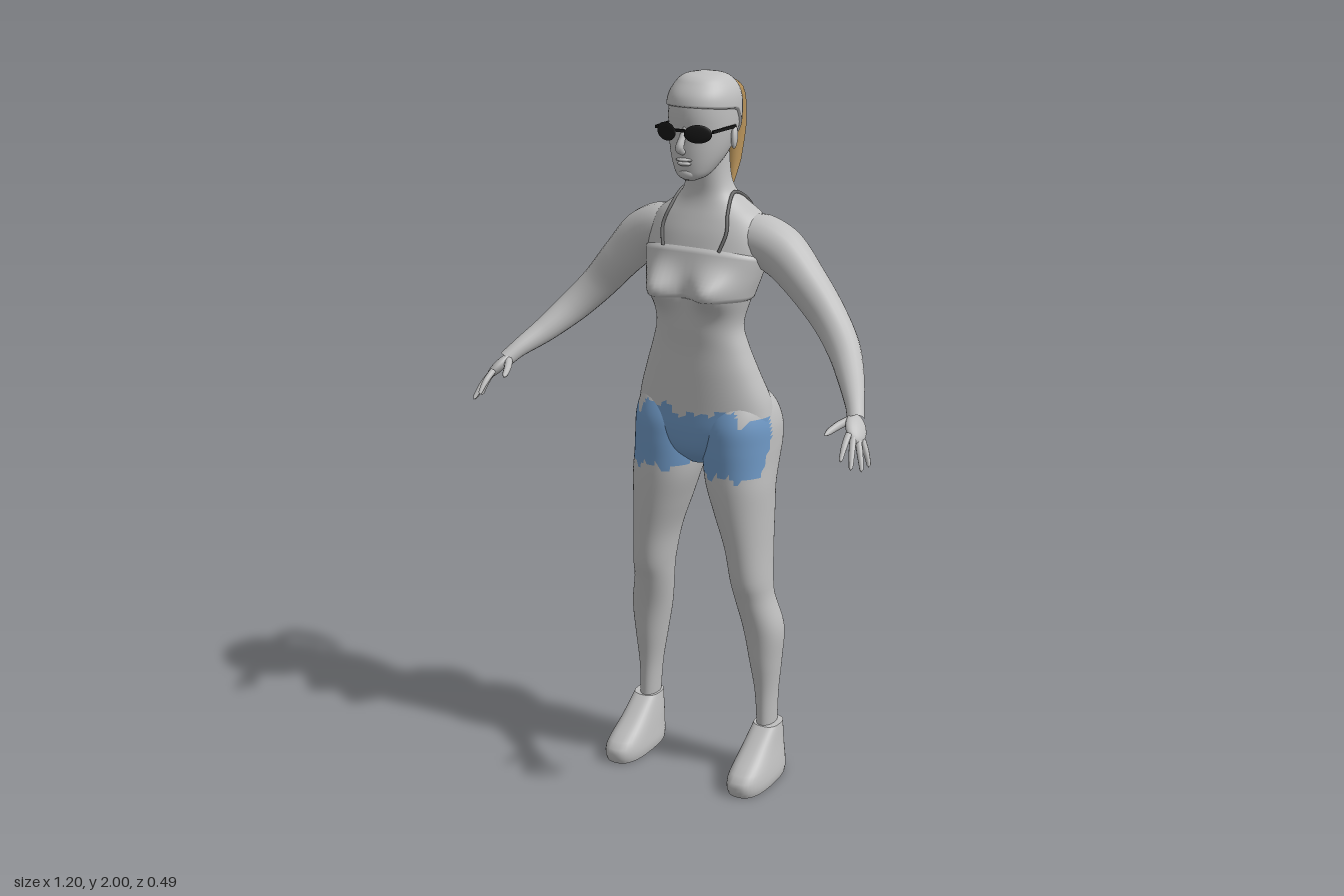
import * as THREE from 'three';

const std = (name, color) => Object.assign(new THREE.MeshStandardMaterial({ color }), { name });

// Smooth interpolation of cross-sections [y, centreX, halfWidth, zFront, zBack] at height y
function sample(rings, y) {
  const n = rings.length;
  let i = 0;
  while (i < n - 2 && y > rings[i + 1][0]) i++;
  const a = rings[i], b = rings[i + 1], h = b[0] - a[0];
  const t = Math.min(1, Math.max(0, (y - a[0]) / h));
  const slope = (k, c) => {
    const p = rings[Math.max(0, k - 1)], q = rings[Math.min(n - 1, k + 1)];
    return (q[c] - p[c]) / (q[0] - p[0]);
  };
  return [1, 2, 3, 4].map((c) => {
    const t2 = t * t, t3 = t2 * t;
    return (2 * t3 - 3 * t2 + 1) * a[c] + (t3 - 2 * t2 + t) * h * slope(i, c)
      + (3 * t2 - 2 * t3) * b[c] + (t3 - t2) * h * slope(i + 1, c);
  });
}

const pow = (v, e) => Math.sign(v) * Math.pow(Math.abs(v), e);

// Point on the body surface at height y and angle a
function surface(rings, y, a, e = 0.9, off = 0) {
  const [cx, hw, zf, zb] = sample(rings, y);
  return [cx + (hw + off) * pow(Math.cos(a), e), y,
    (zf + zb) / 2 + ((zf - zb) / 2 + off) * pow(Math.sin(a), e)];
}

// Closed-around grid; pick() chooses the material index of each face
function grid(nu, nv, fn, { caps = false, pick = () => 0 } = {}) {
  const pos = [], lists = [[], []];
  for (let j = 0; j <= nv; j++)
    for (let i = 0; i < nu; i++) pos.push(...fn(i / nu * Math.PI * 2, j / nv));
  const tri = (...t) => {
    const c = [0, 1, 2].map((k) => t.reduce((s, v) => s + pos[v * 3 + k], 0) / 3);
    lists[pick(...c)].push(...t);
  };
  for (let j = 0; j < nv; j++)
    for (let i = 0; i < nu; i++) {
      const a = j * nu + i, b = j * nu + (i + 1) % nu;
      tri(a, a + nu, b);
      tri(b, a + nu, b + nu);
    }
  if (caps) for (const j of [0, nv]) {
    const base = pos.length / 3, mid = [0, 0, 0];
    for (let i = 0; i < nu; i++) {
      const p = pos.slice((j * nu + i) * 3, (j * nu + i) * 3 + 3);
      p.forEach((v, k) => { mid[k] += v / nu; });
      pos.push(...p);
    }
    pos.push(...mid);
    for (let i = 0; i < nu; i++) {
      const a = base + i, b = base + (i + 1) % nu;
      j ? tri(a, base + nu, b) : tri(a, b, base + nu);
    }
  }
  const g = new THREE.BufferGeometry();
  g.setAttribute('position', new THREE.Float32BufferAttribute(pos, 3));
  g.setIndex([...lists[0], ...lists[1]]);
  g.addGroup(0, lists[0].length, 0);
  g.addGroup(lists[0].length, lists[1].length, 1);
  g.computeVertexNormals();
  return g;
}

const loft = (rings, nu, nv, e, opt) => {
  const lo = rings[0][0], hi = rings[rings.length - 1][0];
  return grid(nu, nv, (a, v) => surface(rings, lo + (hi - lo) * (1 - Math.cos(Math.PI * v)) / 2, a, e), opt);
};

// Tube whose radius follows the list of radii; points are [x, y, z, radius]
function taper(pts, nu = 14, nv = 30) {
  const curve = new THREE.CatmullRomCurve3(pts.map((p) => new THREE.Vector3(p[0], p[1], p[2])));
  const g = new THREE.TubeGeometry(curve, nv, 1, nu), p = g.attributes.position, v = new THREE.Vector3();
  for (let j = 0; j <= nv; j++) {
    const c = curve.getPointAt(j / nv), t = curve.getUtoTmapping(j / nv) * (pts.length - 1);
    const k = Math.min(pts.length - 2, Math.floor(t));
    const r = THREE.MathUtils.lerp(pts[k][3], pts[k + 1][3], t - k);
    for (let i = 0; i <= nu; i++) {
      const q = j * (nu + 1) + i;
      v.fromBufferAttribute(p, q).sub(c).multiplyScalar(r).add(c);
      p.setXYZ(q, v.x, v.y, v.z);
    }
  }
  return g;
}

function mirrored(g) {
  const m = g.clone().scale(-1, 1, 1), ix = m.index.array;
  for (let i = 0; i < ix.length; i += 3) [ix[i], ix[i + 1]] = [ix[i + 1], ix[i]];
  const n = m.attributes.normal, src = g.attributes.normal;
  for (let i = 0; i < n.count; i++) n.setXYZ(i, -src.getX(i), src.getY(i), src.getZ(i));
  return m;
}

const ball = (x, y, z, rx, ry, rz) => new THREE.SphereGeometry(1, 20, 14).scale(rx, ry, rz).translate(x, y, z);

const TORSO = [
  [0.93, 0, 0.03, 0, -0.06], [0.97, 0, 0.12, 0.04, -0.13], [1.03, 0, 0.195, 0.055, -0.165],
  [1.1, 0, 0.197, 0.055, -0.165], [1.2, 0, 0.165, 0.055, -0.13], [1.27, 0, 0.14, 0.055, -0.11],
  [1.33, 0, 0.125, 0.06, -0.105], [1.4, 0, 0.14, 0.06, -0.125], [1.47, 0, 0.16, 0.055, -0.15],
  [1.53, 0, 0.172, 0.04, -0.165], [1.58, 0, 0.168, 0.025, -0.17], [1.62, 0, 0.15, 0.008, -0.17],
  [1.65, 0, 0.11, -0.005, -0.155], [1.68, 0, 0.075, -0.012, -0.137], [1.72, 0, 0.06, -0.01, -0.125],
  [1.8, 0, 0.055, 0, -0.12]];
const LEG = [
  [1.16, 0.1, 0.05, 0, -0.09], [1.12, 0.105, 0.08, 0.03, -0.16], [1.06, 0.107, 0.099, 0.055, -0.2],
  [1, 0.108, 0.102, 0.06, -0.205], [0.94, 0.11, 0.1, 0.06, -0.18], [0.88, 0.117, 0.094, 0.06, -0.15],
  [0.8, 0.13, 0.08, 0.055, -0.14], [0.7, 0.147, 0.063, 0.045, -0.125], [0.6, 0.158, 0.056, 0.035, -0.11],
  [0.55, 0.163, 0.054, 0.02, -0.11], [0.45, 0.182, 0.056, -0.002, -0.13], [0.35, 0.188, 0.044, -0.015, -0.125],
  [0.25, 0.192, 0.031, -0.028, -0.115], [0.14, 0.195, 0.025, -0.03, -0.11]].reverse();
const SHOE = [
  [0, 0.2025, 0.054, 0.125, -0.117], [0.02, 0.2025, 0.057, 0.132, -0.12], [0.05, 0.202, 0.054, 0.125, -0.12],
  [0.1, 0.2, 0.046, 0.05, -0.117], [0.155, 0.2, 0.038, -0.025, -0.112]];
const HEAD = [
  [1.725, 0, 0.015, 0.045, 0.01], [1.735, 0, 0.038, 0.056, -0.02], [1.76, 0, 0.057, 0.062, -0.06],
  [1.8, 0, 0.075, 0.064, -0.11], [1.85, 0, 0.086, 0.062, -0.142], [1.9, 0, 0.088, 0.064, -0.152],
  [1.94, 0, 0.084, 0.056, -0.148], [1.97, 0, 0.068, 0.032, -0.128], [1.988, 0, 0.044, 0.005, -0.095],
  [1.995, 0, 0.006, -0.035, -0.05]];

// Torso surface with the bust pushed forward
function torsoPoint(y, a, off = 0) {
  const p = surface(TORSO, y, a, 0.9, off);
  if (Math.sin(a) > 0)
    p[2] += 0.055 * Math.exp(-(((Math.abs(p[0]) - 0.08) / 0.05) ** 2) - ((y - 1.435) / 0.048) ** 2);
  return p;
}

// Shorts cover the front and back, leaving the outer hip bare
function shorts(x, y, z) {
  const ax = Math.abs(x), rag = 0.008 * Math.sin(x * 70) + 0.005 * Math.sin(x * 151);
  const top = z > -0.06 ? 1.098 - (ax < 0.04 ? 0.012 : 0) - (ax > 0.15 ? 0.02 : 0) : 1.08;
  if (y > top + rag || y < 0.92 + rag) return 0;
  const back = -0.185 + (1.07 - y) * 0.53, front = y > 1.02 ? -0.05 : -0.05 + (1.02 - y) * 0.5;
  return ax > 0.12 && z > back && z < front ? 0 : 1;
}

export function createModel() {
  const model = new THREE.Group();
  const grey = std('body grey', 0xbfbfbf), blue = std('shorts blue', 0x6f99c6);
  const tan = std('ponytail tan', 0xb8935a), black = std('glasses black', 0x161616), dark = std('strap grey', 0x6c6c6c);
  const add = (name, g, m) => {
    const mesh = new THREE.Mesh(g, m);
    mesh.name = name;
    model.add(mesh);
    return mesh;
  };
  const pair = (name, g, m) => { add(name + 'Left', g, m); add(name + 'Right', mirrored(g), m); };
  const clothed = [grey, blue];

  // Torso, legs and shoes
  add('torso', grid(64, 80, (a, v) => torsoPoint(0.93 + 0.87 * v, a), { caps: true, pick: shorts }), clothed);
  pair('leg', loft(LEG, 56, 90, 0.95, { caps: true, pick: shorts }), clothed);
  pair('shoe', loft(SHOE, 36, 14, 0.75, { caps: true }), grey);

  // Bandeau top: thin raised shell with arched edges, tucked in at both rims
  add('bandeau', grid(64, 16, (a, v) => {
    const s = Math.sin(a), hi = 1.52 + 0.03 * Math.abs(s), lo = 1.4 + 0.01 * Math.max(0, s);
    return torsoPoint(lo + (hi - lo) * v, a, v === 0 || v === 1 ? -0.004 : 0.006);
  }), grey);

  // Shoulder straps lying on the torso
  const onTorso = (x, y, side) => {
    const [, hw, zf, zb] = sample(TORSO, y);
    const k = Math.pow(1 - Math.pow(x / hw, 2 / 0.9), 0.45);
    return [x, y, (zf + zb) / 2 + side * ((zf - zb) / 2 * k + 0.004), 0.005];
  };
  pair('strap', taper([onTorso(0.085, 1.54, 1), onTorso(0.097, 1.59, 1), onTorso(0.088, 1.635, 1),
    [0.076, 1.682, -0.07, 0.005], onTorso(0.085, 1.635, -1), onTorso(0.092, 1.58, -1), onTorso(0.09, 1.53, -1)], 6, 40), dark);

  // Arms and hands
  pair('arm', taper([[0.08, 1.565, -0.08, 0.055], [0.15, 1.56, -0.083, 0.07], [0.21, 1.532, -0.087, 0.07],
    [0.28, 1.465, -0.085, 0.059], [0.36, 1.375, -0.075, 0.05], [0.42, 1.31, -0.04, 0.045], [0.475, 1.25, 0.025, 0.035],
    [0.52, 1.205, 0.095, 0.024], [0.54, 1.18, 0.13, 0.022]], 20, 50), grey);
  const d = new THREE.Vector3(0.042, -0.065, 0.08).normalize();
  const w = new THREE.Vector3(0.05, -0.03, -0.08).normalize();
  const n = new THREE.Vector3().crossVectors(w, d).normalize();
  w.crossVectors(d, n);
  pair('palm', ball(0, 0, 0, 0.031, 0.046, 0.015)
    .applyMatrix4(new THREE.Matrix4().makeBasis(w, d, n).setPosition(0.549, 1.165, 0.148)), grey);
  const tips = [[0.552, 1.108, 0.24], [0.577, 1.088, 0.233], [0.594, 1.078, 0.205], [0.597, 1.08, 0.168]];
  tips.forEach((t, i) => {
    const b = new THREE.Vector3(0.559, 1.15, 0.168).addScaledVector(w, -0.023 + i * 0.0145);
    const mid = b.clone().lerp(new THREE.Vector3(...t), 0.55);
    pair('finger' + (i + 1), taper([[...b, 0.009], [mid.x, mid.y + 0.006, mid.z, 0.0085], [...t, 0.005],
      [t[0], t[1] - 0.003, t[2] + 0.002, 0.0005]], 8, 12), grey);
  });
  pair('thumb', taper([[0.533, 1.185, 0.125, 0.012], [0.508, 1.172, 0.165, 0.011], [0.495, 1.16, 0.198, 0.008],
    [0.491, 1.155, 0.21, 0.001]], 8, 12), grey);

  // Head, face and hair cap
  add('head', loft(HEAD, 44, 44, 0.95, { caps: true }), grey);
  add('hairCap', grid(44, 30, (a, v) => {
    const s = Math.sin(a), lo = s > -0.1 ? 1.905 + 0.012 * s : 1.905 + 0.13 * (s + 0.1);
    const y = lo + (1.995 - lo) * Math.sin(v * Math.PI / 2);
    const p = surface(HEAD, y, a, 0.95, v === 0 ? -0.003 : 0.006);
    p[1] += 0.005 * v;
    return p;
  }, { caps: true }), grey);
  add('nose', taper([[0, 1.865, 0.058, 0.006], [0, 1.84, 0.074, 0.009], [0, 1.816, 0.086, 0.012],
    [0, 1.803, 0.07, 0.008]], 12, 16), grey);
  add('upperLip', ball(0, 1.783, 0.064, 0.024, 0.005, 0.01), grey);
  add('lowerLip', ball(0, 1.773, 0.063, 0.02, 0.006, 0.01), grey);
  add('chin', ball(0, 1.745, 0.046, 0.024, 0.017, 0.018), grey);
  pair('ear', ball(0, 0, 0, 0.009, 0.032, 0.019).rotateX(-0.25).rotateY(0.35).translate(0.089, 1.835, -0.045), grey);

  // Sunglasses
  pair('lens', ball(0, 0, 0, 0.037, 0.024, 0.006).rotateY(0.35).translate(0.047, 1.855, 0.073), black);
  add('glassesBridge', new THREE.BoxGeometry(0.04, 0.007, 0.008).translate(0, 1.862, 0.081), black);
  pair('glassesArm', new THREE.BoxGeometry(0.005, 0.008, 0.11).rotateY(-0.06).translate(0.088, 1.862, 0.008), black);

  // Ponytail and its band
  add('ponytail', taper([[0, 1.915, -0.14, 0.012], [0, 1.938, -0.175, 0.024], [0, 1.92, -0.208, 0.028],
    [0, 1.84, -0.217, 0.029], [0, 1.74, -0.206, 0.02], [0, 1.655, -0.19, 0.001]], 16, 36), tan);
  add('hairBand', new THREE.TorusGeometry(0.019, 0.007, 8, 20).rotateX(-0.5).translate(0, 1.928, -0.158), black);

  return model;
}
